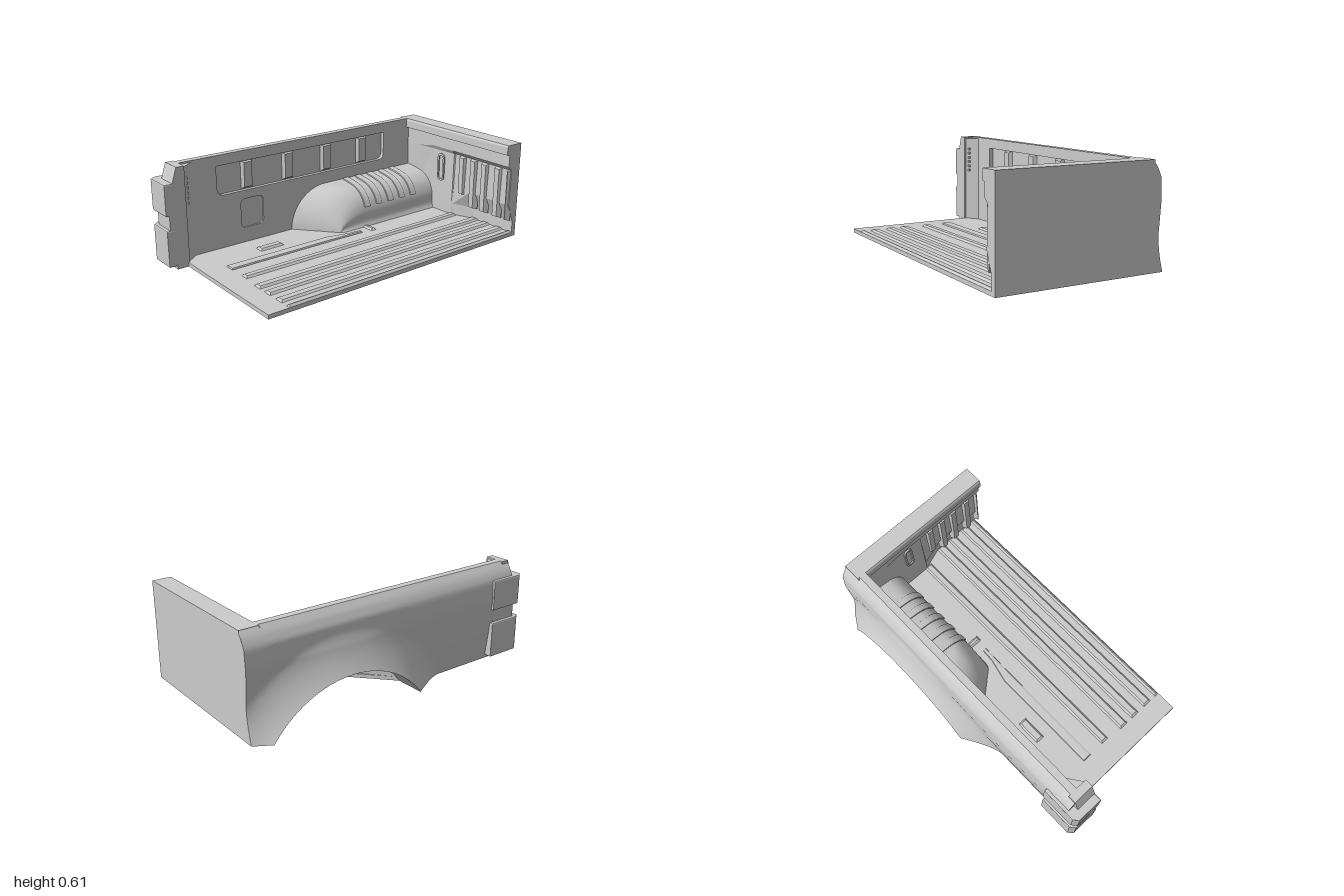
import * as THREE from 'three';

const mat = new THREE.MeshStandardMaterial({ color: 0xcccccc, side: THREE.DoubleSide });
const flatMat = new THREE.MeshStandardMaterial({ color: 0xcccccc, side: THREE.DoubleSide, flatShading: true });
const clamp = THREE.MathUtils.clamp, lerp = THREE.MathUtils.lerp;

// Wheel arch circle in the side plane
const ARCH = { z: -0.4, y: -0.375, r: 0.625, blend: 0.213 };
const archY = z => Math.max(0, Math.sqrt(Math.max(0, ARCH.r ** 2 - (z - ARCH.z) ** 2)) + ARCH.y);

// Outer skin: body section pulled out to the flared arch lip
const SKIN = [[0, -0.43], [0.2, -0.455], [0.4, -0.47], [0.52, -0.462], [0.57, -0.438], [0.61, -0.405]];
function skinX(z, y) {
  let i = 0;
  while (i < SKIN.length - 2 && y > SKIN[i + 1][0]) i++;
  const [y0, x0] = SKIN[i], [y1, x1] = SKIN[i + 1];
  const base = lerp(x0, x1, clamp((y - y0) / (y1 - y0), 0, 1));
  const t = clamp((Math.hypot(z - ARCH.z, y - ARCH.y) - ARCH.r) / ARCH.blend, 0, 1);
  return lerp(base, -0.55, (1 - t) ** 1.4);
}

// Surface over an n by m grid of points
function grid(n, m, point) {
  const pos = [], idx = [];
  for (let i = 0; i <= n; i++) for (let j = 0; j <= m; j++) pos.push(...point(i, j));
  for (let i = 0; i < n; i++) for (let j = 0; j < m; j++) {
    const a = i * (m + 1) + j, b = a + m + 1;
    idx.push(a, b, a + 1, b, b + 1, a + 1);
  }
  const g = new THREE.BufferGeometry();
  g.setAttribute('position', new THREE.Float32BufferAttribute(pos, 3));
  g.setIndex(idx);
  g.computeVertexNormals();
  return g;
}

const poly = pts => new THREE.Shape(pts.map(p => new THREE.Vector2(p[0], p[1])));

function roundRect(x0, y0, x1, y1, r, Kind = THREE.Shape) {
  const s = new Kind();
  s.absarc(x1 - r, y0 + r, r, -Math.PI / 2, 0);
  s.absarc(x1 - r, y1 - r, r, 0, Math.PI / 2);
  s.absarc(x0 + r, y1 - r, r, Math.PI / 2, Math.PI);
  s.absarc(x0 + r, y0 + r, r, Math.PI, Math.PI * 1.5);
  s.closePath();
  return s;
}

const extrude = (shape, depth, bevel = 0) => new THREE.ExtrudeGeometry(shape, {
  depth, bevelEnabled: bevel > 0, bevelSize: bevel, bevelThickness: bevel, bevelOffset: -bevel, bevelSegments: 2, curveSegments: 8,
});
// Shape in (z, y) extruded towards -x from x
const alongX = (shape, x, depth) => extrude(shape, depth).rotateY(-Math.PI / 2).translate(x, 0, 0);
// Shape in (x, z) extruded downwards from y
const downY = (shape, y, depth, bevel = 0) => extrude(shape, depth - 2 * bevel, bevel).rotateX(Math.PI / 2).translate(0, y - bevel, 0);

// Box with a smaller top face, standing on its base
function raised(w, h, d, inset) {
  const g = new THREE.BoxGeometry(w, h, d).translate(0, h / 2, 0), p = g.attributes.position;
  for (let i = 0; i < p.count; i++) if (p.getY(i) > h / 2) {
    p.setX(i, p.getX(i) - Math.sign(p.getX(i)) * inset);
    p.setZ(i, p.getZ(i) - Math.sign(p.getZ(i)) * inset);
  }
  g.computeVertexNormals();
  return g;
}

export function createModel() {
  const root = new THREE.Group();
  const add = (name, geometry, material = flatMat) => {
    const m = new THREE.Mesh(geometry, material);
    m.name = name;
    root.add(m);
    return m;
  };

  // Floor, cut out at the wheel well
  add('floor', downY(poly([[0.55, 0.88], [-0.42, 0.88], [-0.42, 0.1], [-0.36, 0.1], [-0.12, -0.12],
    [-0.12, -0.9], [-0.42, -0.9], [-0.42, -0.98], [0.55, -0.98]]), 0.025, 0.025));
  for (const [x, w, z0, z1] of [[0.085, 0.055, -0.92, 0.735], [0.24, 0.06, -0.97, 0.75], [0.34, 0.06, -0.97, 0.75],
    [0.45, 0.06, -0.97, 0.75], [0.535, 0.03, -0.97, 0.75], [-0.2, 0.06, 0.29, 0.455], [-0.065, 0.09, -0.325, -0.285]])
    add('floorRidge', raised(w, 0.013, z1 - z0, 0.012).translate(x, 0.024, (z0 + z1) / 2));
  add('bentFloorRidge', downY(poly([[-0.1, 0.735], [-0.04, 0.735], [-0.04, 0.02], [-0.035, -0.22], [-0.06, -0.22],
    [-0.065, -0.13], [-0.1, 0.02]]), 0.037, 0.025, 0.01));

  // Front bulkhead: lofted sections, recessed towards the centre
  const section = (ledge, mid, low) => [[-1, 0], [-1, 0.61], [-0.885, 0.61], [-0.878, 0.597], [-0.878, 0.55], [-0.9, 0.545],
    [-0.9, 0.47], [ledge, 0.445], [mid, 0.215], [low, 0.1], [low, 0], [-1, 0]];
  const stations = [[-0.42, section(-0.9, -0.91, -0.91)], [-0.24, section(-0.9, -0.91, -0.91)], [-0.12, section(-0.914, -0.914, -0.912)],
    [0.07, section(-0.918, -0.914, -0.912)], [0.075, section(-0.928, -0.92, -0.916)],
    [0.22, section(-0.928, -0.922, -0.968)], [0.55, section(-0.928, -0.922, -0.968)]];
  add('bulkhead', grid(stations.length - 1, 11, (i, j) => {
    const [z, y] = stations[i][1][j];
    return [stations[i][0], y, z];
  }));
  add('bulkheadEnd', new THREE.ShapeGeometry(poly(stations[6][1].slice(0, -1))).rotateY(-Math.PI / 2).translate(0.55, 0, 0));
  for (const [x, w, y0] of [[0.147, 0.06, 0.18], [0.245, 0.06, 0.11], [0.34, 0.06, 0.11], [0.45, 0.06, 0.11], [0.535, 0.03, 0.11]])
    add('bulkheadRib', raised(w, 0.036, 0.448 - y0, 0.012).rotateX(Math.PI / 2).translate(x, (0.448 + y0) / 2, -0.942));
  const slot = roundRect(-0.071, 0.238, -0.012, 0.425, 0.028);
  slot.holes.push(roundRect(-0.06, 0.25, -0.023, 0.413, 0.018, THREE.Path));
  add('bulkheadSlot', extrude(slot, 0.012).translate(0, 0, -0.918));

  // Outer side panel with flared wheel arch
  const zAt = i => -1 + i * 0.02, N = 96, M = 30;
  add('sidePanel', grid(N, M, (i, j) => {
    const z = zAt(i), y = lerp(archY(z), 0.61, j / M);
    return [skinX(z, y), y, z];
  }), mat);
  add('sideLowerEdge', grid(N, 1, (i, j) => {
    const z = zAt(i), y = archY(z);
    return [j ? -0.36 : skinX(z, y), y, z];
  }), mat);
  add('sideRail', grid(N, 1, (i, j) => [j ? -0.36 : skinX(0, 0.61), 0.61, zAt(i)]));
  for (const z of [-1, 0.92]) {
    const pts = [[-0.36, 0], [-0.36, 0.61]];
    for (let k = 0; k <= 20; k++) pts.push([skinX(z, 0.61 * (1 - k / 20)), 0.61 * (1 - k / 20)]);
    add('sideEnd', new THREE.ShapeGeometry(poly(pts)).translate(0, 0, z));
  }

  // Inner side wall with recessed panels
  const wallPts = [[0.92, 0], [0.92, 0.61], [-0.95, 0.61], [-0.95, 0]];
  for (let z = -0.9; z < 0.11; z += 0.04) wallPts.push([z, archY(z) + 0.001]);
  const wall = poly(wallPts), panel = new THREE.Path();
  panel.moveTo(-0.67, 0.545);
  panel.lineTo(-0.67, 0.4);
  panel.quadraticCurveTo(-0.67, 0.36, -0.63, 0.36);
  panel.lineTo(0.58, 0.36);
  panel.quadraticCurveTo(0.63, 0.36, 0.63, 0.41);
  panel.lineTo(0.63, 0.545);
  panel.closePath();
  wall.holes.push(panel, roundRect(0.31, 0.12, 0.47, 0.305, 0.03, THREE.Path));
  add('innerWall', alongX(wall, -0.36, 0.04));
  add('panelBack', new THREE.BoxGeometry(0.01, 0.2, 1.34).translate(-0.39, 0.455, -0.02));
  add('squarePanelBack', new THREE.BoxGeometry(0.01, 0.2, 0.18).translate(-0.375, 0.212, 0.39));
  for (const z of [0.41, 0.11, -0.19, -0.485])
    add('wallPost', raised(0.18, 0.024, 0.08, 0.012).rotateZ(-Math.PI / 2).translate(-0.386, 0.455, z));

  // Wheel well housing: rounded section with a slanted, domed nose
  const wellCurve = new THREE.CatmullRomCurve3([[-0.37, 0.285], [-0.29, 0.275], [-0.21, 0.255], [-0.15, 0.205], [-0.118, 0.13],
    [-0.115, 0.055], [-0.1, 0.022]].map(p => new THREE.Vector3(p[0], p[1], 0)));
  const well = wellCurve.getPoints(24);
  add('wheelWell', grid(17, 24, (i, j) => {
    const p = well[j], a = Math.min(i, 16) / 16 * Math.PI / 2;
    const z = i > 16 ? -0.93 : 0.1 - 0.27 * (1 - Math.cos(a)) - 0.21 * (p.x + 0.36) / 0.245;
    return [p.x, lerp(0.02, p.y, Math.sin(a)), z];
  }), mat);
  // Raised bands over the wheel well
  const arc = well.filter(p => p.y > 0.14 && p.x > -0.355);
  const center = new THREE.Vector3(-0.33, 0.1, 0);
  const outer = arc.map(p => p.clone().add(p.clone().sub(center).setLength(0.009)));
  const inner = arc.map(p => p.clone().add(p.clone().sub(center).setLength(-0.006)));
  for (const z of [-0.335, -0.435, -0.535, -0.635, -0.735])
    add('wellBand', extrude(poly([...outer, ...inner.reverse()].map(p => [p.x, p.y])), 0.04, 0.004).translate(0, 0, z - 0.02));
  for (let k = 0; k < 5; k++) inner.reverse();

  // Rear corner pillar and its inner fillet
  add('rearPillar', alongX(poly([[0.87, 0], [0.95, 0], [0.95, 0.52], [0.92, 0.61], [0.87, 0.61]]), -0.29, 0.13));
  add('pillarFillet', downY(poly([[-0.36, 0.79], [-0.3, 0.872], [-0.36, 0.872]]), 0.6, 0.58));
  for (let k = 0; k < 6; k++)
    add('latchTooth', new THREE.BoxGeometry(0.02, 0.014, 0.04).translate(-0.322, 0.375 + k * 0.03, 0.86));

  // Wrap-around rear lamps
  const lampPlan = (o, f) => poly([[-0.48 + o, 0.75 + o], [-0.48 + o, 0.97 - o], [-0.455 + o, f], [-0.29, f], [-0.29, 0.94],
    [-0.38, 0.94], [-0.42, 0.9], [-0.42, 0.75 + o]]);
  add('upperLamp', downY(lampPlan(0, 1), 0.52, 0.19, 0.008));
  add('lowerLamp', downY(lampPlan(0, 1), 0.245, 0.225, 0.008));
  add('lampBridge', downY(lampPlan(0.02, 0.98), 0.34, 0.1));
  return root;
}
